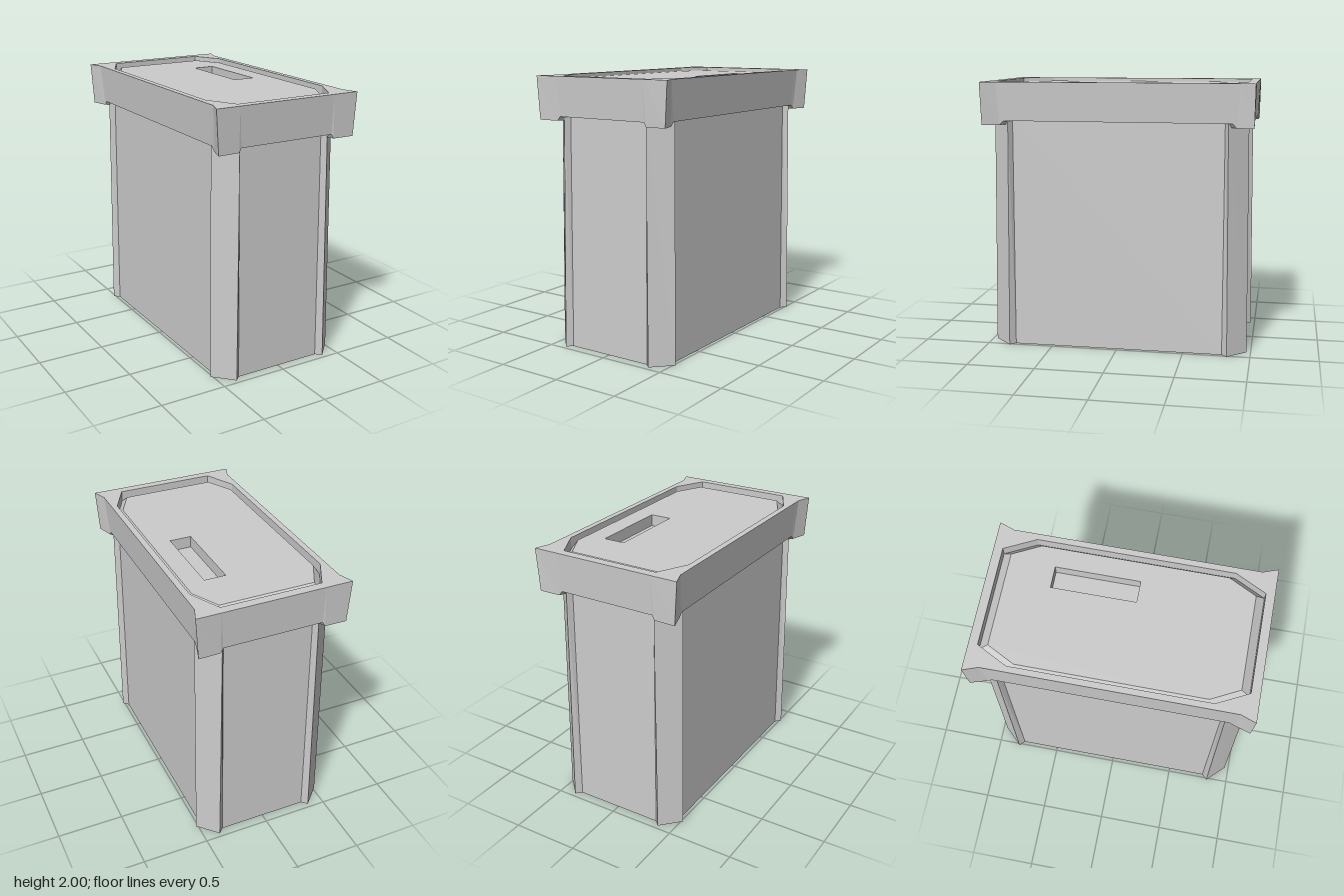
import * as THREE from 'three';
import { mergeGeometries } from 'three/addons/utils/BufferGeometryUtils.js';

const grey = new THREE.MeshStandardMaterial({ color: 0xcccccc, flatShading: true });

// Mirror one quarter outline (from the +x side round to the +z front) into a closed ring.
// Points are [x, z] or [x, z, y]; the result holds [x, y, z].
function ring(quarter, y) {
  const out = [];
  for (const [sx, sz] of [[1, 1], [-1, 1], [-1, -1], [1, -1]]) {
    const pts = sx * sz > 0 ? quarter : [...quarter].reverse();
    for (const p of pts) out.push([p[0] * sx, p[2] ?? y, p[1] * sz]);
  }
  return out;
}

// Skin between successive rings; rings going up face outwards, going down inwards.
function loft(...rings) {
  const pos = [];
  for (let r = 0; r < rings.length - 1; r++) {
    const a = rings[r], b = rings[r + 1], n = a.length;
    for (let i = 0; i < n; i++) {
      const j = (i + 1) % n;
      pos.push(...a[i], ...b[i], ...b[j], ...a[i], ...b[j], ...a[j]);
    }
  }
  const g = new THREE.BufferGeometry();
  g.setAttribute('position', new THREE.Float32BufferAttribute(pos, 3));
  g.computeVertexNormals();
  return g;
}

// Flat cap at the height of a ring, facing up or down, with an optional hole.
function cap(outline, up = true, hole) {
  const s = up ? -1 : 1;
  const pts = (r) => r.map(([x, , z]) => new THREE.Vector2(x, z * s));
  const shape = new THREE.Shape(pts(outline));
  if (hole) shape.holes.push(new THREE.Path(pts(hole)));
  const g = new THREE.ShapeGeometry(shape).rotateX(s * Math.PI / 2).translate(0, outline[0][1], 0);
  const flat = g.toNonIndexed();
  flat.deleteAttribute('uv');
  return flat;
}

function part(name, ...geometries) {
  const mesh = new THREE.Mesh(mergeGeometries(geometries), grey);
  mesh.name = name;
  return mesh;
}

export function createModel() {
  const group = new THREE.Group();
  group.name = 'bin';

  // Tapered body: recessed panels between chamfered corner posts
  const base = ring([[0.475, 0.79], [0.515, 0.83], [0.38, 0.97], [0.34, 0.93]], 0);
  const neck = ring([[0.46, 0.785], [0.5, 0.81], [0.36, 0.95], [0.335, 0.91]], 1.75);
  group.add(part('body', loft(base, neck), cap(base, false)));

  // Rim with flared corners that hang slightly lower than its sides
  const lower = [[0.51, 0.84, 1.715], [0.51, 0.87, 1.685], [0.55, 0.995, 1.685],
    [0.39, 0.99, 1.685], [0.37, 0.985, 1.715]];
  const rimInner = ring(lower.map(([x, z, y]) => [x * 0.8, z * 0.85, y]));
  const rimBottom = ring(lower);
  const rimTop = ring([[0.53, 0.84], [0.53, 0.89], [0.57, 1], [0.39, 1], [0.37, 1]], 2);

  // Groove and lid share an octagonal outline
  const outer = [[0.485, 0.71], [0.37, 0.935]];
  const inner = [[0.455, 0.67], [0.35, 0.873]];
  const grooveTop = ring(outer, 2), grooveFloor = ring(outer, 1.92), lidTop = ring(inner, 1.975);
  group.add(part('rim', loft(rimInner, rimBottom, rimTop), cap(rimTop, true, grooveTop),
    loft(grooveTop, grooveFloor)));

  // Bevelled lid with a rectangular hand slot
  const slot = (y) => [[0.31, y, -0.545], [0.31, y, 0.065], [0.15, y, 0.065], [0.15, y, -0.545]];
  group.add(part('lid', loft(grooveFloor, lidTop), cap(lidTop, true, slot(1.975))));
  group.add(part('handSlot', loft(slot(1.975), slot(1.89)), cap(slot(1.89))));

  return group;
}
